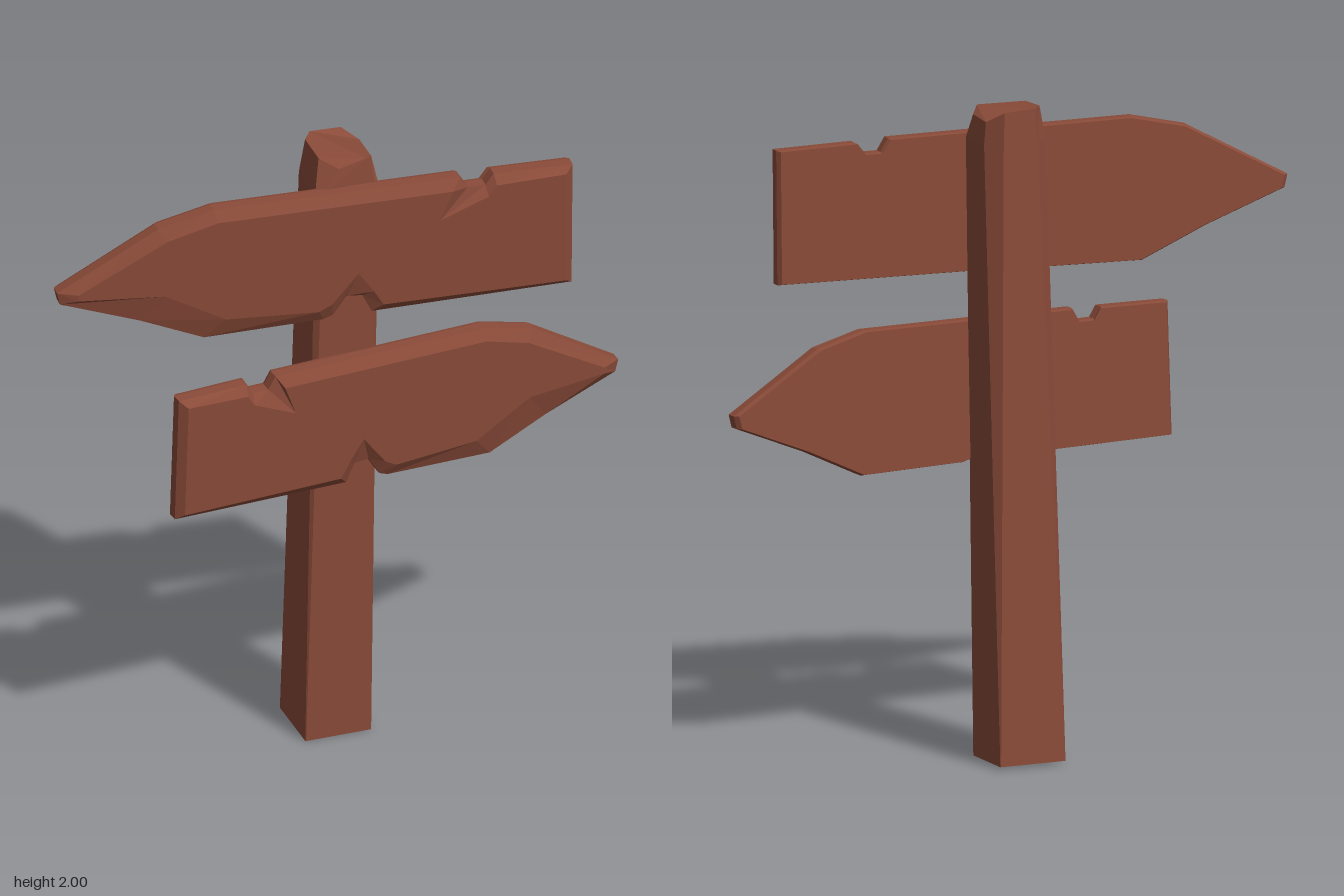
import * as THREE from 'three';

const wood = new THREE.MeshStandardMaterial({ color: 0x8a4b39 });
wood.name = 'redBrownWood';

// Joins rings of [u, v, w] points (counter-clockwise seen from +w) into a closed faceted solid
function loft(rings) {
  const pos = [];
  const tri = (a, b, c) => pos.push(...a, ...b, ...c);
  const n = rings[0].length;
  for (let r = 0; r < rings.length - 1; r++) {
    const lo = rings[r], hi = rings[r + 1];
    for (let i = 0; i < n; i++) {
      const j = (i + 1) % n;
      tri(lo[i], lo[j], hi[j]);
      tri(lo[i], hi[j], hi[i]);
    }
  }
  const cap = (ring, flip) => {
    const flat = ring.map(p => new THREE.Vector2(p[0], p[1]));
    for (const [a, b, c] of THREE.ShapeUtils.triangulateShape(flat, [])) {
      if (flip) tri(ring[a], ring[c], ring[b]);
      else tri(ring[a], ring[b], ring[c]);
    }
  };
  cap(rings[0], true);
  cap(rings[rings.length - 1], false);
  const geo = new THREE.BufferGeometry();
  geo.setAttribute('position', new THREE.Float32BufferAttribute(pos, 3));
  geo.computeVertexNormals();
  return geo;
}

// Square ring with a separate chamfer at each corner
function squareRing(h, [fl, fr, br, bl], w) {
  return [
    [-h, -h + fl, w], [-h + fl, -h, w], [h - fr, -h, w], [h, -h + fr, w],
    [h, h - br, w], [h - br, h, w], [-h + bl, h, w], [-h, h - bl, w],
  ];
}

// Board edge: outline x, y, then the matching point on the worn front face
const BOARD = [
  [-0.89, -0.035, -0.84, -0.02],
  [-0.64, -0.13, -0.57, -0.045],
  [-0.44, -0.22, -0.38, -0.155],
  [-0.07, -0.215, -0.09, -0.175],
  [-0.04, -0.205, -0.05, -0.155],
  [0.00, -0.145, 0.03, -0.06],
  [0.05, -0.15, 0.08, -0.13],
  [0.08, -0.21, 0.11, -0.18],
  [0.70, -0.205, 0.675, -0.185],
  [0.695, 0.205, 0.67, 0.185],
  [0.45, 0.21, 0.455, 0.18],
  [0.425, 0.175, 0.43, 0.145],
  [0.37, 0.175, 0.28, 0.085],
  [0.345, 0.215, 0.32, 0.18],
  [-0.42, 0.22, -0.41, 0.185],
  [-0.59, 0.18, -0.565, 0.145],
  [-0.90, 0.005, -0.84, 0.0],
];

// sx scales the length; a negative value mirrors the board
function boardGeometry(sx, shift) {
  const pts = sx < 0 ? [...BOARD].reverse() : BOARD;
  const ring = (k, s, z) => pts.map(p => [p[k] * s * sx + shift, p[k + 1] * s, z]);
  return loft([ring(0, 0.985, -0.035), ring(0, 1, -0.022), ring(0, 1, 0.012), ring(2, 1, 0.034)]);
}

export function createModel() {
  const model = new THREE.Group();
  model.name = 'signpost';

  const add = (name, geo, [x, y, z], lean, yaw) => {
    const mesh = new THREE.Mesh(geo, wood);
    mesh.name = name;
    mesh.position.set(x, y, z);
    mesh.rotation.set(lean, yaw, 0);
    model.add(mesh);
  };

  // Leaning post with chamfers that widen upwards and a rough-cut top
  const post = loft([
    squareRing(0.106, [0.002, 0.002, 0.002, 0.002], 0),
    squareRing(0.1, [0.02, 0.015, 0.045, 0.045], 1.89),
    [
      [-0.08, -0.05, 1.99], [-0.03, -0.09, 1.965], [0.06, -0.09, 1.985], [0.09, -0.05, 1.965],
      [0.095, 0.06, 1.96], [0.05, 0.1, 1.99], [-0.05, 0.1, 1.995], [-0.08, 0.06, 1.995],
    ],
  ]);
  post.rotateX(-Math.PI / 2);
  add('post', post, [0.02, 0.004, -0.105], 0.041, -0.07);

  // Two arrow boards pointing opposite ways
  add('upperBoard', boardGeometry(1.01, 0), [0, 1.685, 0.08], 0.045, -0.145);
  add('lowerBoard', boardGeometry(-0.916, 0.076), [0, 1.11, 0.072], 0.045, 0);

  return model;
}
